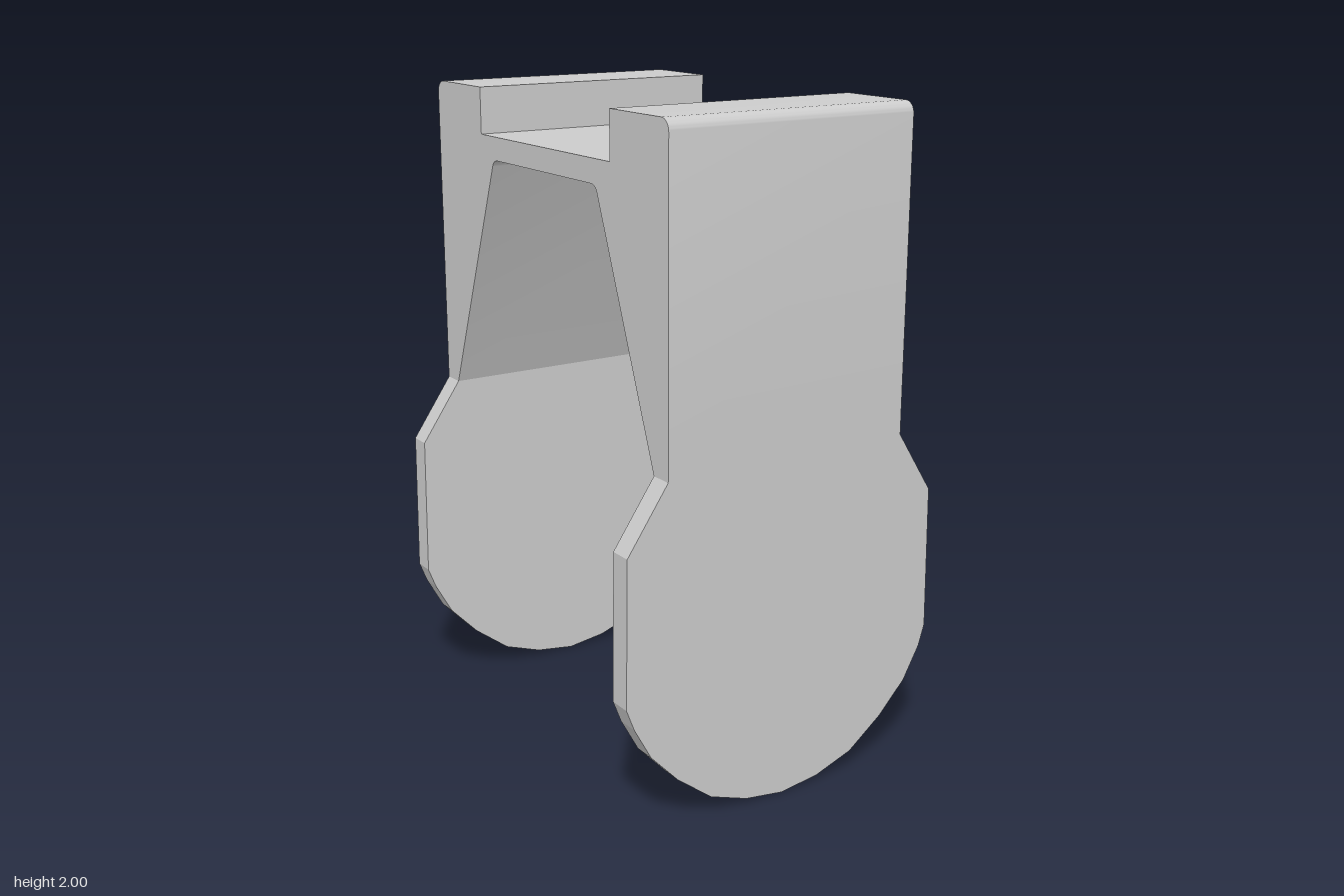
import * as THREE from 'three';
import { toCreasedNormals } from 'three/addons/utils/BufferGeometryUtils.js';

const OUT = 0.655;      // outer face of the legs
const INNER = 0.585;    // inner face of the thin plates
const JOIN = 1.04;      // height where the bridge meets the plates
const HALF_W = 0.405;   // half width of the bridge

export function createModel() {
  const group = new THREE.Group();
  const material = new THREE.MeshStandardMaterial({ color: 0xcccccc });

  // Bridge: side profile (z, y) extruded across x
  const s = new THREE.Shape();
  s.moveTo(OUT, JOIN);
  s.lineTo(OUT, 1.965);
  s.absarc(OUT - 0.035, 1.965, 0.035, 0, Math.PI / 2, false);
  s.lineTo(0.37, 2);
  s.lineTo(0.37, 1.86);
  s.lineTo(-0.37, 1.86);
  s.lineTo(-0.37, 2);
  s.lineTo(-OUT + 0.035, 2);
  s.absarc(-OUT + 0.035, 1.965, 0.035, Math.PI / 2, Math.PI, false);
  s.lineTo(-OUT, JOIN);
  s.lineTo(-INNER, JOIN);
  s.lineTo(-0.302, 1.77);
  s.quadraticCurveTo(-0.294, 1.79, -0.27, 1.79);
  s.lineTo(0.27, 1.79);
  s.quadraticCurveTo(0.294, 1.79, 0.302, 1.77);
  s.lineTo(INNER, JOIN);
  const bridgeGeo = new THREE.ExtrudeGeometry(s, { depth: 2 * HALF_W, bevelEnabled: false, curveSegments: 6 });
  bridgeGeo.translate(0, 0, -HALF_W).rotateY(-Math.PI / 2);
  const bridge = new THREE.Mesh(toCreasedNormals(bridgeGeo, 0.5), material);
  bridge.name = 'bridge';
  group.add(bridge);

  // Paddle-shaped plates with faceted rounded ends
  const outline = [
    [-HALF_W, JOIN], [-0.535, 0.85], [-0.54, 0.41], [-0.515, 0.345], [-0.46, 0.245],
    [-0.37, 0.15], [-0.255, 0.062], [-0.13, 0.018], [0, 0], [0.13, 0.018], [0.255, 0.062],
    [0.37, 0.15], [0.46, 0.245], [0.515, 0.345], [0.535, 0.41], [0.527, 0.85], [HALF_W, JOIN],
  ].map(([x, y]) => new THREE.Vector2(x, y));
  const plateGeo = new THREE.ExtrudeGeometry(new THREE.Shape(outline), { depth: OUT - INNER, bevelEnabled: false });
  for (const [name, z] of [['frontPlate', INNER], ['backPlate', -OUT]]) {
    const plate = new THREE.Mesh(plateGeo, material);
    plate.name = name;
    plate.position.z = z;
    group.add(plate);
  }
  return group;
}
